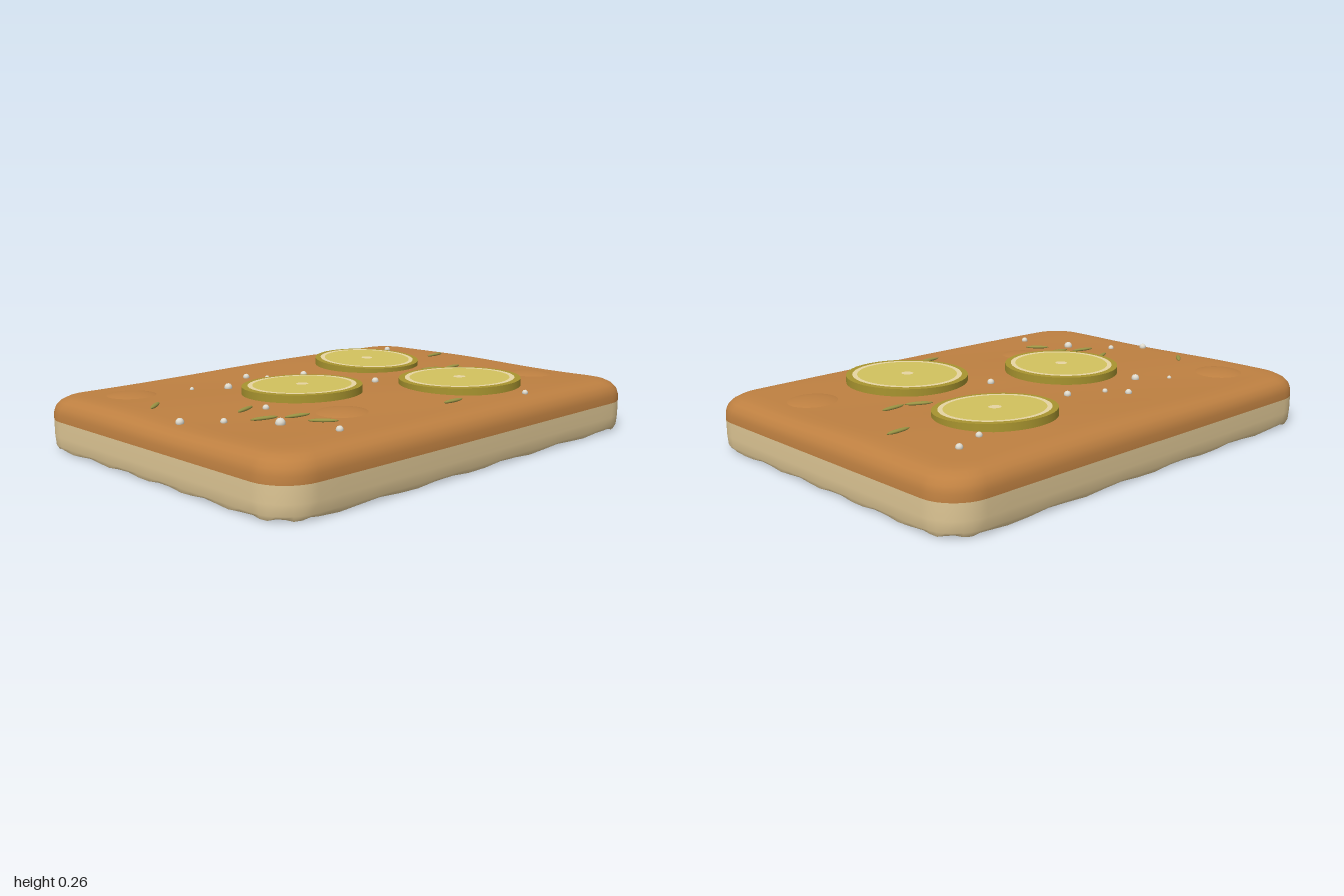
import * as THREE from 'three';

const mat = (name, color, side = THREE.FrontSide) => {
  const m = new THREE.MeshStandardMaterial({ color, side });
  m.name = name;
  return m;
};

// Gentle waviness of the baked top
const topY = (x, z) =>
  0.217 + 0.004 * Math.sin(3.1 * x + 1.2 * z + 0.6) + 0.003 * Math.sin(7 * z - 4 * x) - 0.003 * x * x;

// Rounded rectangle loop, pulled in by an inset
function outline(inset) {
  const pts = [], hx = 1 - inset, hz = 0.733 - inset, r = Math.max(0.15 - inset * 0.5, 0.05);
  const corners = [[1, 1], [-1, 1], [-1, -1], [1, -1]];
  corners.forEach(([sx, sz], k) => {
    const cx = sx * (hx - r), cz = sz * (hz - r);
    for (let i = 0; i <= 8; i++) {
      const a = (k + i / 8) * Math.PI / 2;
      pts.push([cx + r * Math.cos(a), cz + r * Math.sin(a)]);
    }
    const [nx, nz] = corners[(k + 1) % 4];
    const [x0, z0] = pts[pts.length - 1];
    const a = (k + 1) * Math.PI / 2;
    const x1 = nx * (hx - r) + r * Math.cos(a), z1 = nz * (hz - r) + r * Math.sin(a);
    for (let i = 1; i < 18; i++) pts.push([x0 + (x1 - x0) * i / 18, z0 + (z1 - z0) * i / 18]);
  });
  // slightly uneven long edges
  return pts.map(([x, z]) => [x, z * (1 + 0.005 * Math.sin(2.2 * x + (z < 0 ? 3.4 : 2.6)))]);
}

// Skin a stack of closed loops
function loft(rings) {
  const n = rings[0].length, pos = rings.flat(2), idx = [];
  for (let i = 0; i < rings.length - 1; i++) {
    for (let j = 0; j < n; j++) {
      const a = i * n + j, b = i * n + (j + 1) % n, c = a + n, d = b + n;
      idx.push(a, c, b, b, c, d);
    }
  }
  const g = new THREE.BufferGeometry();
  g.setAttribute('position', new THREE.Float32BufferAttribute(pos, 3));
  g.setIndex(idx);
  g.computeVertexNormals();
  return g;
}

export function createModel() {
  const model = new THREE.Group();
  const crust = mat('golden crust', 0xbe8041, THREE.DoubleSide);
  const crumb = mat('pale crumb', 0xdfc795, THREE.DoubleSide);
  const rind = mat('lemon rind', 0xa8942f);
  const flesh = mat('lemon flesh', 0xd2c25e);
  const pith = mat('lemon pith', 0xecdaa6);
  const under = mat('dark underside', 0x4a3c16);
  const herb = mat('rosemary green', 0x9a9444);
  const salt = mat('salt', 0xe0dccf);

  const add = (parent, name, geo, material, x = 0, y = 0, z = 0) => {
    const m = new THREE.Mesh(geo, material);
    m.name = name;
    m.position.set(x, y, z);
    parent.add(m);
    return m;
  };

  // Pale lower wall, open underneath
  const wall = [[0.005, 0.012], [0.02, 0.003], [0.06, 0], [0.122, 0]].map(([y, inset], k) =>
    outline(inset).map(([x, z], j) => [x, k ? y : y + 0.005 * Math.sin(j * 1.7), z]));
  add(model, 'lowerCrumb', loft(wall), crumb);

  // Crust: rounded shoulder, then loops closing in over the wavy top
  const shoulder = [[0.122, 0], [0.15, 0.001], [0.175, 0.008], [0.195, 0.024], [0.208, 0.046], [0.214, 0.068]];
  const rings = shoulder.map(([y, inset], k) => outline(inset).map(([x, z]) =>
    [x, y + (topY(x, z) - 0.217) * k / (shoulder.length - 1), z]));
  const rim = outline(0.1);
  for (let i = 0; i <= 24; i++) {
    const s = 1 - i / 24;
    rings.push(rim.map(([x, z]) => [x * s, topY(x * s, z * s), z * s]));
  }
  add(model, 'crustTop', loft(rings), crust);

  // Round bubbles in the crust, with dark bottoms
  for (const [x, z] of [[-0.75, -0.46], [-0.37, 0.35], [0.76, 0.36]]) {
    const bubble = new THREE.Group();
    bubble.name = 'bubble';
    bubble.position.set(x, topY(x, z) - 0.021, z);
    bubble.scale.set(0.13, 0.032, 0.13);
    add(bubble, 'bubbleDome', new THREE.SphereGeometry(1, 32, 14, 0, Math.PI * 2, 0, Math.PI * 0.68), crust);
    add(bubble, 'bubbleBottom',
      new THREE.SphereGeometry(1, 32, 8, 0, Math.PI * 2, Math.PI * 0.68, Math.PI * 0.32), under);
    model.add(bubble);
  }

  // Lemon slices: [x, z, radius, centre height, tilt about x, tilt about z]
  const slices = [
    [-0.255, 0, 0.24, 0.237, -0.02, 0],
    [0.41, -0.295, 0.235, 0.23, 0.04, 0],
    [0.325, 0.325, 0.25, 0.234, -0.015, 0.01],
  ];
  for (const [x, z, r, y, tx, tz] of slices) {
    const slice = new THREE.Group();
    slice.name = 'lemonSlice';
    slice.position.set(x, y, z);
    slice.rotation.set(tx, 0, tz);
    const flat = (name, geo, material, h) => add(slice, name, geo.rotateX(-Math.PI / 2), material, 0, h, 0);
    add(slice, 'rind', new THREE.CylinderGeometry(r, r, 0.03, 48), rind);
    flat('pithRing', new THREE.RingGeometry(r * 0.82, r * 0.9, 48), pith, 0.0165);
    flat('flesh', new THREE.CircleGeometry(r * 0.82, 48), flesh, 0.0165);
    flat('pithCentre', new THREE.CircleGeometry(0.025, 20), pith, 0.018);
    add(slice, 'sliceUnderside', new THREE.CircleGeometry(r * 0.95, 40).rotateX(Math.PI / 2), under, 0, -0.034, 0);
    model.add(slice);
  }

  // Rosemary needles: [x, z, heading]
  const needles = [
    [-0.815, -0.2, 0.7], [-0.61, 0.08, 0.38], [-0.65, 0.235, -0.25], [-0.54, 0.29, -0.17],
    [-0.53, 0.415, -0.8], [0.03, 0.54, 0], [0.52, 0.012, -0.5], [0.625, 0.035, 0.06], [0.805, -0.225, 0.08],
  ];
  const needleGeo = new THREE.SphereGeometry(1, 12, 8).scale(0.055, 0.007, 0.01);
  for (const [x, z, a] of needles) {
    add(model, 'rosemaryNeedle', needleGeo, herb, x, topY(x, z) + 0.005, z).rotation.y = a;
  }

  // Salt grains: [x, z, radius]
  const grains = [
    [-0.9, 0.075, 0.016], [-0.78, 0.17, 0.013], [-0.54, 0.115, 0.013], [-0.66, 0.335, 0.019],
    [-0.59, 0.56, 0.014], [-0.51, -0.385, 0.009], [-0.39, -0.3, 0.017], [-0.19, -0.43, 0.014],
    [-0.14, -0.35, 0.011], [0.015, -0.29, 0.015], [0.11, 0.05, 0.015], [0.64, -0.46, 0.013],
    [0.77, -0.505, 0.014], [0.355, 0.635, 0.012],
  ];
  for (const [x, z, r] of grains) {
    add(model, 'saltGrain', new THREE.IcosahedronGeometry(r, 1), salt, x, topY(x, z) + r * 0.3, z);
  }
  return model;
}
